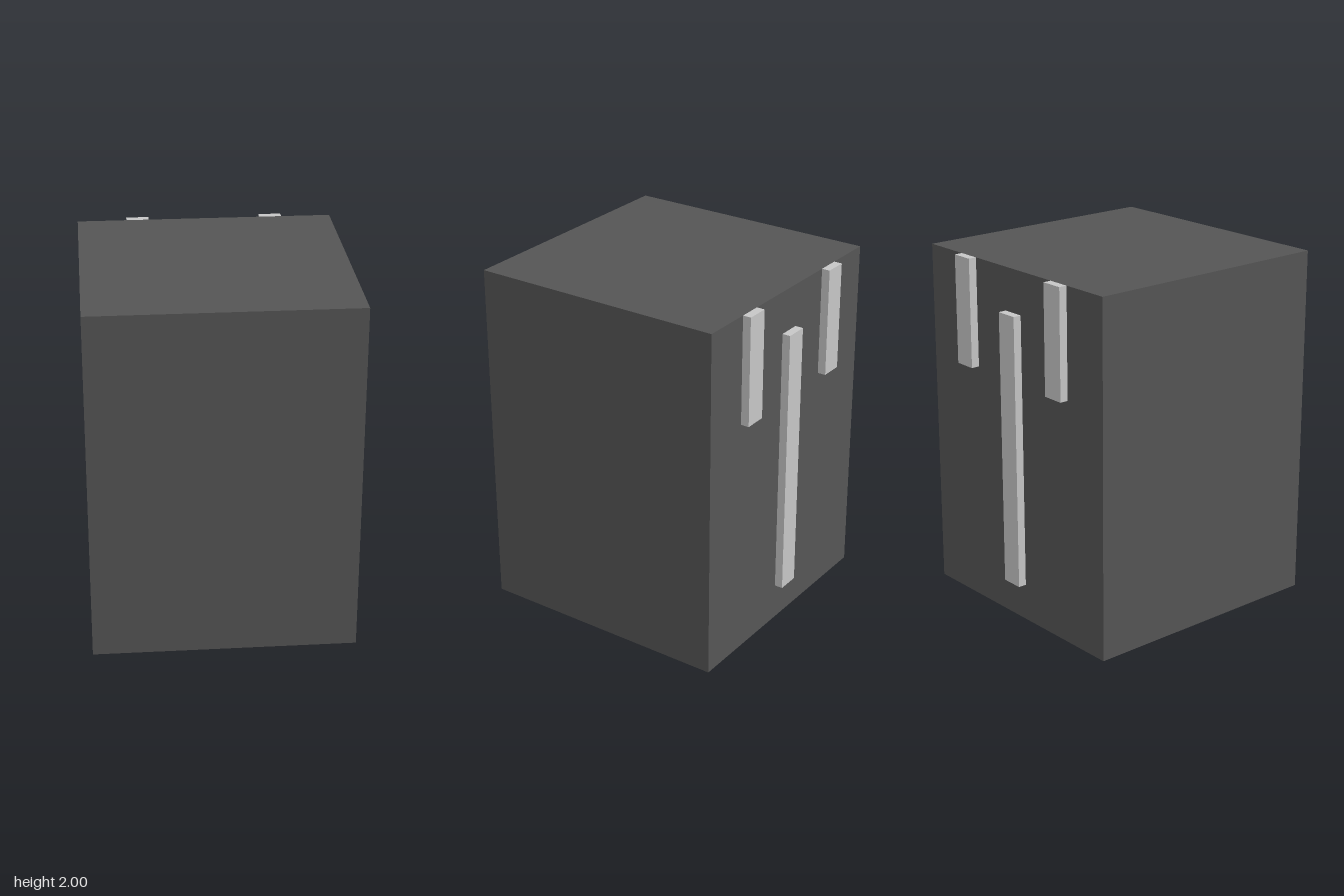
import * as THREE from 'three';

const bodyMaterial = new THREE.MeshStandardMaterial({ color: 0x555555 });
bodyMaterial.name = 'dark grey';
const stripMaterial = new THREE.MeshStandardMaterial({ color: 0xc6c6c6 });
stripMaterial.name = 'light grey';

// Box given by its lower and upper corners
function box(name, material, [x0, y0, z0], [x1, y1, z1]) {
  const mesh = new THREE.Mesh(new THREE.BoxGeometry(x1 - x0, y1 - y0, z1 - z0), material);
  mesh.position.set((x0 + x1) / 2, (y0 + y1) / 2, (z0 + z1) / 2);
  mesh.name = name;
  return mesh;
}

export function createModel() {
  const model = new THREE.Group();
  model.name = 'block';
  const back = -0.708, stripBack = -0.755, halfStrip = 0.064;

  // Main block
  model.add(box('body', bodyMaterial, [-0.73, 0, back], [0.73, 2, 0.755]));

  // Raised strips on the back: centre x, bottom, top
  const strips = [
    ['leftStrip', 0.385, 1.387, 2],
    ['centreStrip', 0, 0.21, 1.76],
    ['rightStrip', -0.385, 1.387, 2],
  ];
  for (const [name, x, bottom, top] of strips) {
    model.add(box(name, stripMaterial, [x - halfStrip, bottom, stripBack], [x + halfStrip, top, back]));
  }
  return model;
}
